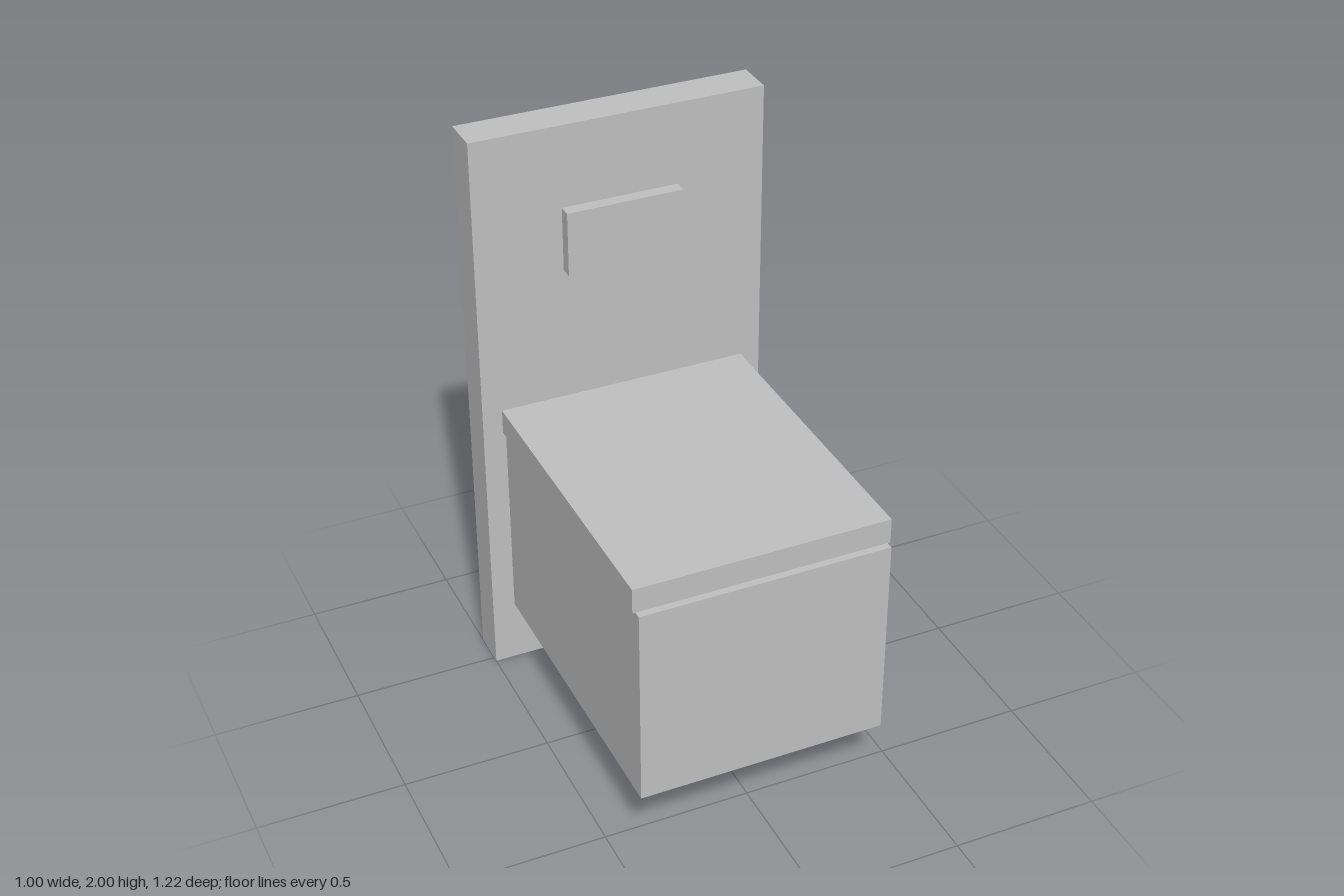
import * as THREE from 'three';

export function createModel() {
  const group = new THREE.Group();
  const grey = new THREE.MeshStandardMaterial({ color: 0xbfbfbf });
  grey.name = 'plainGrey';

  // Box given by half width, bottom and top, back and front
  function addBox(name, halfWidth, y0, y1, z0, z1) {
    const mesh = new THREE.Mesh(new THREE.BoxGeometry(halfWidth * 2, y1 - y0, z1 - z0), grey);
    mesh.name = name;
    mesh.position.set(0, (y0 + y1) / 2, (z0 + z1) / 2);
    group.add(mesh);
  }

  const wallFront = -0.48;
  addBox('wallPanel', 0.5, 0, 2, -0.612, wallFront);
  addBox('bowl', 0.422, 0.226, 0.936, wallFront, 0.612);
  addBox('lid', 0.432, 0.936, 1.022, wallFront, 0.587);
  addBox('flushPlate', 0.2, 1.493, 1.716, wallFront, -0.436);

  return group;
}
